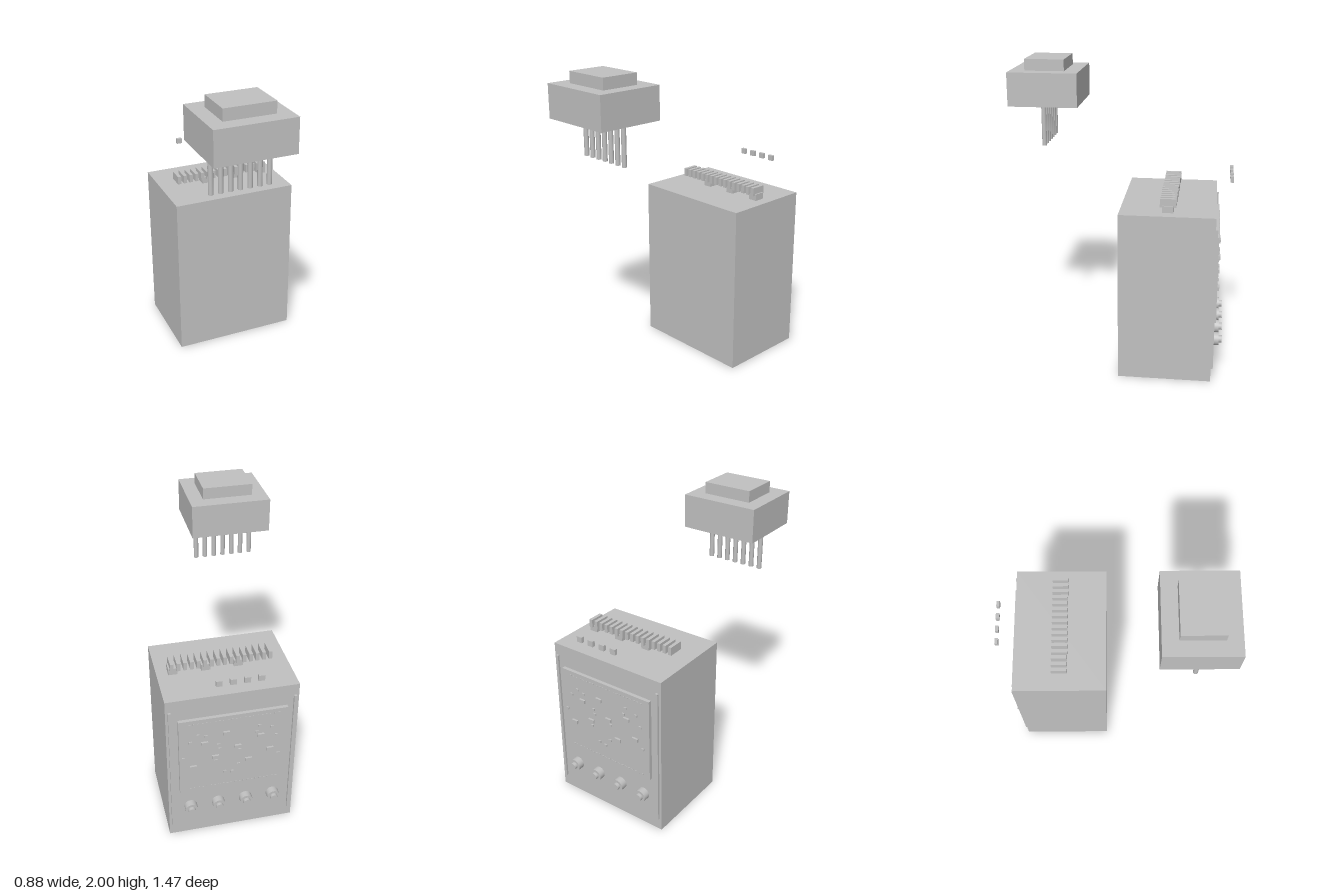
import * as THREE from 'three';

export function createModel() {
  const model = new THREE.Group();
  model.name = 'equipmentCabinet';
  const grey = new THREE.MeshStandardMaterial({ color: 0xc0c0c0 });
  grey.name = 'plain grey';

  const group = (name) => {
    const g = new THREE.Group();
    g.name = name;
    model.add(g);
    return g;
  };
  // Box given by its low and high limits on each axis
  const box = (parent, name, [x0, x1], [y0, y1], [z0, z1]) => {
    const m = new THREE.Mesh(new THREE.BoxGeometry(x1 - x0, y1 - y0, z1 - z0), grey);
    m.position.set((x0 + x1) / 2, (y0 + y1) / 2, (z0 + z1) / 2);
    m.name = name;
    parent.add(m);
    return m;
  };
  const around = (c, size) => [c - size / 2, c + size / 2];

  // Main cabinet
  const back = -0.637;
  box(model, 'cabinet', [-0.4, 0.44], [0, 1.12], [back, -0.032]);

  // Floating unit: block, raised cap and a row of pins below
  const unit = group('floatingUnit');
  box(unit, 'unitBody', [-0.445, 0.07], [1.705, 1.925], [0.275, 0.73]);
  box(unit, 'unitCap', [-0.35, -0.023], [1.925, 2], [0.373, 0.633]);
  const pinShape = new THREE.CylinderGeometry(0.016, 0.016, 0.265, 12);
  for (let i = 0; i < 7; i++) {
    const pin = new THREE.Mesh(pinShape, grey);
    pin.name = 'pin';
    pin.position.set(-0.375 + i * 0.0625, 1.5725, 0.508);
    unit.add(pin);
  }

  // Slatted row on top, carried by three feet
  const slats = group('topSlats');
  for (let i = 0; i < 16; i++) {
    box(slats, 'slat', around(-0.284 + i * 0.042, 0.023), [1.153, 1.208], [-0.388, -0.285]);
  }
  for (const x of [-0.082, 0.129, 0.338]) {
    box(slats, 'slatFoot', around(x, 0.058), [1.12, 1.164], [-0.372, -0.301]);
  }

  // Four small blocks floating behind
  const blocks = group('smallBlocks');
  for (let i = 0; i < 4; i++) {
    box(blocks, 'smallBlock', around(-0.125 + i * 0.085, 0.038), [1.266, 1.303], [-0.738, -0.717]);
  }

  // Rear side rails and board
  const rear = group('rearPanel');
  for (const x of [-0.375, 0.415]) {
    box(rear, 'rail', around(x, 0.018), [0.083, 1.04], [-0.651, back]);
  }
  const face = -0.66;
  box(rear, 'board', [-0.327, 0.366], [0.387, 0.97], [face, back]);

  // Dashed edge contacts
  for (const y of [0.41, 0.94]) {
    for (let i = 0; i < 22; i++) {
      box(rear, 'contact', around(-0.27 + i * 0.027, 0.012), around(y, 0.006), [face - 0.003, face]);
    }
  }

  // Chips (larger) and small components on the board
  const chips = [
    [0.066, 0.84], [0.204, 0.78], [-0.155, 0.78], [-0.008, 0.718],
    [0.135, 0.657], [0.278, 0.595], [-0.22, 0.657], [-0.081, 0.595],
  ];
  for (const [x, y] of chips) {
    box(rear, 'chip', around(x, 0.044), around(y, 0.024), [face - 0.013, face]);
  }
  const components = [
    [0.245, 0.85], [0.196, 0.834], [0.294, 0.8], [0.339, 0.676],
    [0.115, 0.751], [0.106, 0.716], [-0.146, 0.859], [-0.13, 0.81],
    [-0.228, 0.836], [0.131, 0.621], [-0.024, 0.685], [-0.26, 0.763],
    [-0.277, 0.604], [0.074, 0.518], [0.025, 0.509], [-0.016, 0.564],
  ];
  for (const [x, y] of components) {
    box(rear, 'component', around(x, 0.02), around(y, 0.015), [face - 0.007, face]);
  }

  // Four round connectors with a narrower tip
  const connectors = group('connectors');
  const disc = (x, r, z0, z1, name) => {
    const m = new THREE.Mesh(new THREE.CylinderGeometry(r, r, z1 - z0, 24), grey);
    m.rotation.x = -Math.PI / 2;
    m.position.set(x, 0.238, (z0 + z1) / 2);
    m.name = name;
    connectors.add(m);
  };
  for (let i = 0; i < 4; i++) {
    const x = -0.258 + i * 0.1845;
    disc(x, 0.042, -0.682, back, 'connectorBase');
    disc(x, 0.024, -0.703, -0.682, 'connectorTip');
  }

  return model;
}
